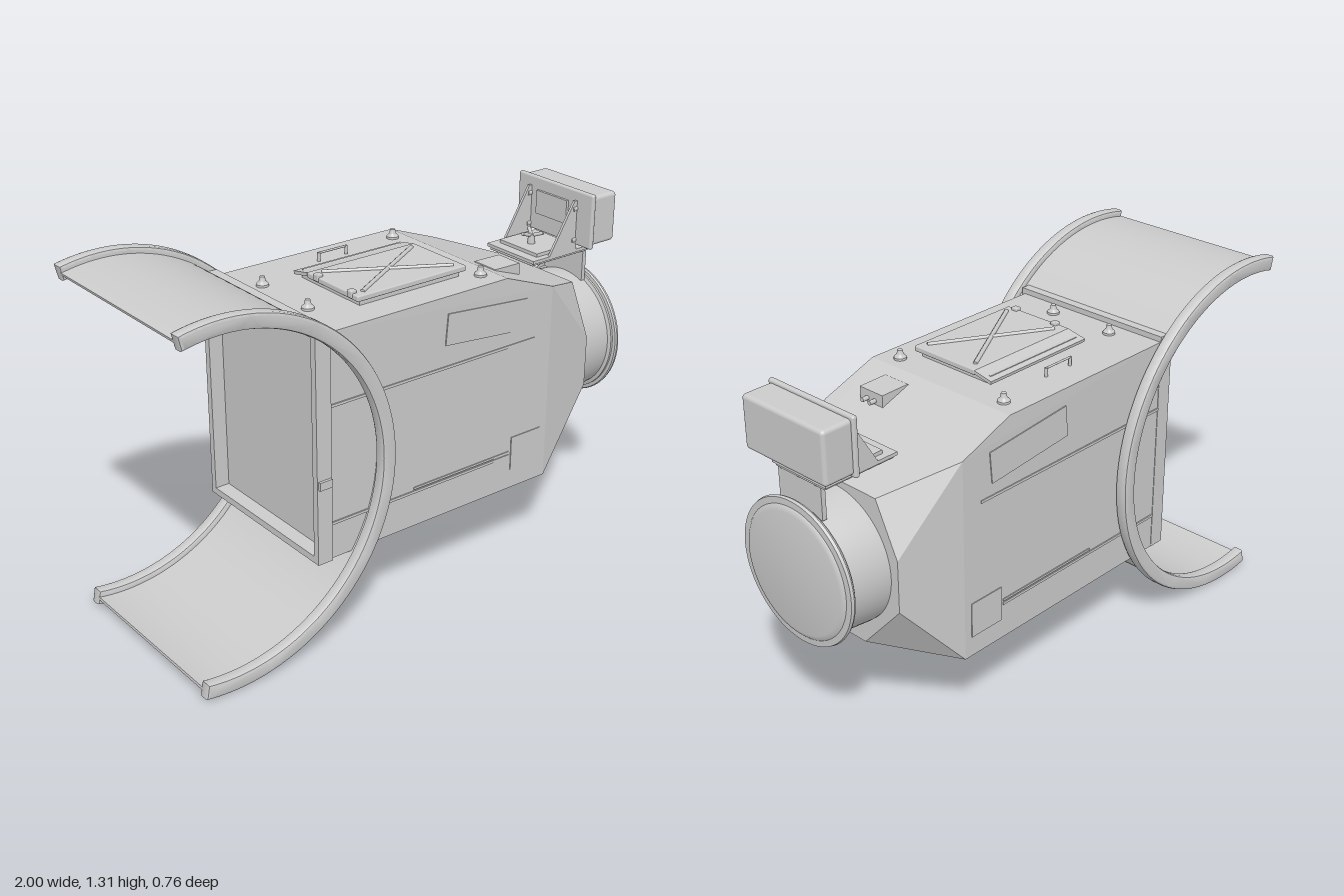
import * as THREE from 'three';
import { RoundedBoxGeometry } from 'three/addons/geometries/RoundedBoxGeometry.js';
import { ConvexGeometry } from 'three/addons/geometries/ConvexGeometry.js';
import { toCreasedNormals } from 'three/addons/utils/BufferGeometryUtils.js';

const material = new THREE.MeshStandardMaterial({ color: 0xcccccc, side: THREE.DoubleSide });
const MID = -0.01; // z of the housing's centre plane

export function createModel() {
  const model = new THREE.Group();

  const add = (name, geometry, x = 0, y = 0, z = 0) => {
    const mesh = new THREE.Mesh(geometry, material);
    mesh.name = name;
    mesh.position.set(x, y, z);
    model.add(mesh);
    return mesh;
  };
  // Box given by its limits
  const box = (name, x0, x1, y0, y1, z0, z1, r = 0) => add(name,
    r ? new RoundedBoxGeometry(x1 - x0, y1 - y0, z1 - z0, 3, r) : new THREE.BoxGeometry(x1 - x0, y1 - y0, z1 - z0),
    (x0 + x1) / 2, (y0 + y1) / 2, (z0 + z1) / 2);
  // Polygon in the x-y plane, thickened along z from z0 to z1
  const prism = (name, points, z0, z1) => add(name,
    new THREE.ExtrudeGeometry(new THREE.Shape(points.map(p => new THREE.Vector2(...p))),
      { depth: z1 - z0, bevelEnabled: false }), 0, 0, z0);
  // Round bar between two points
  const bar = (name, a, b, r) => {
    const p = new THREE.Vector3(...a), q = new THREE.Vector3(...b);
    const mesh = add(name, new THREE.CylinderGeometry(r, r, p.distanceTo(q), 10));
    mesh.position.copy(p).lerp(q, 0.5);
    mesh.quaternion.setFromUnitVectors(new THREE.Vector3(0, 1, 0), q.sub(p).normalize());
    return mesh;
  };
  const lathe = (points, segments) =>
    toCreasedNormals(new THREE.LatheGeometry(points.map(p => new THREE.Vector2(...p)), segments), 0.6);

  // Curved mounting shield: thin sheet with a bevelled rim on each side
  const arc = (name, rIn, rOut, z0, z1, bevel) => {
    const a0 = THREE.MathUtils.degToRad(-100.5), a1 = THREE.MathUtils.degToRad(103.5);
    const shape = new THREE.Shape();
    shape.absarc(0, 0, rOut, a0, a1, false);
    shape.absarc(0, 0, rIn, a1, a0, true);
    const geometry = new THREE.ExtrudeGeometry(shape, {
      depth: z1 - z0 - 2 * bevel, curveSegments: 72, bevelEnabled: bevel > 0,
      bevelSize: bevel, bevelThickness: bevel, bevelOffset: -bevel, bevelSegments: 2,
    });
    add(name, toCreasedNormals(geometry, 0.5), -0.845, 0.66, z0 + bevel);
  };
  arc('shieldSheet', 0.624, 0.634, -0.345, 0.34, 0);
  arc('shieldRimLeft', 0.602, 0.656, 0.33, 0.376, 0.01);
  arc('shieldRimRight', 0.602, 0.656, -0.38, -0.334, 0.01);

  // Housing: square section that narrows to an eight-sided nose
  const corners = [];
  for (const s of [-1, 1]) {
    const side = [
      [-0.42, 0.31, 0.318], [-0.42, 1.135, 0.318], [0.345, 1.135, 0.318], [0.56, 1.055, 0.32], [0.56, 0.31, 0.32],
      [0.8, 0.40, 0.10], [0.8, 0.59, 0.27], [0.8, 0.78, 0.27], [0.8, 0.97, 0.18],
    ];
    for (const [x, y, z] of side) corners.push(new THREE.Vector3(x, y, MID + s * z));
  }
  add('housing', new ConvexGeometry(corners));

  // Frame round the open back
  const frame = new THREE.Shape([[-0.325, 0.31], [0.325, 0.31], [0.325, 1.155], [-0.325, 1.155]]
    .map(p => new THREE.Vector2(...p)));
  frame.holes.push(new THREE.Path([[-0.3, 0.335], [-0.3, 1.13], [0.3, 1.13], [0.3, 0.335]]
    .map(p => new THREE.Vector2(...p))));
  add('backFrame', new THREE.ExtrudeGeometry(frame, { depth: 0.06, bevelEnabled: false }), -0.475, 0, MID + 0.005)
    .rotation.y = Math.PI / 2;
  box('frameLug', -0.47, -0.42, 0.595, 0.625, 0.318, 0.33);

  // Side rails and access plates, on both sides
  for (const s of [-1, 1]) {
    const z0 = MID + s * 0.318 - 0.005, z1 = z0 + 0.01;
    box('upperRail', -0.415, 0.48, 0.873, 0.883, z0, z1);
    box('lowerRail', -0.415, 0.38, 0.44, 0.45, z0, z1);
    box('shortRail', -0.06, 0.38, 0.455, 0.463, z0, z1);
    box('squarePlate', 0.39, 0.53, 0.385, 0.515, z0, z1);
    prism('tiltedPlate', [[0.07, 0.96], [0.43, 0.925], [0.44, 1.04], [0.08, 1.073]], z0, z1);
  }

  // Roof hatch with crossed stiffeners
  box('hatchBase', -0.2, 0.225, 1.13, 1.165, -0.13, 0.19);
  box('hatchLid', -0.22, 0.245, 1.155, 1.176, -0.075, 0.207, 0.005);
  add('hatchHingeStrip', new THREE.BoxGeometry(0.465, 0.012, 0.078), 0.0125, 1.16, -0.112).rotation.x = -0.2;
  bar('stiffener', [-0.18, 1.176, -0.045], [0.21, 1.176, 0.18], 0.008);
  bar('stiffener', [-0.18, 1.176, 0.18], [0.21, 1.176, -0.045], 0.008);
  for (const z of [-0.02, 0.165]) box('hatchLatch', -0.225, -0.2, 1.16, 1.186, z - 0.013, z + 0.013, 0.004);

  // Lifting studs
  const stud = lathe([[0, -0.005], [0.022, -0.005], [0.022, 0.008], [0.012, 0.018], [0.009, 0.034], [0, 0.038]], 16);
  for (const [x, z] of [[-0.35, -0.15], [-0.35, 0.11], [0.29, -0.25], [0.29, 0.23]]) add('liftingStud', stud, x, 1.135, z);

  // Small roof handle
  bar('handleGrip', [-0.065, 1.165, -0.222], [0.06, 1.165, -0.222], 0.004);
  for (const x of [-0.062, 0.057]) bar('handlePost', [x, 1.13, -0.222], [x, 1.167, -0.222], 0.006);

  // Hooded fitting on the roof slope, with two prongs
  prism('hood', [[0.385, 1.115], [0.505, 1.07], [0.505, 1.12], [0.39, 1.122]], 0.088, 0.196);
  for (const z of [0.125, 0.16]) bar('hoodProng', [0.5, 1.09, z], [0.53, 1.09, z], 0.008);

  // Round nose with flange and slightly domed cover
  const nose = lathe([
    [0, 0.78], [0.245, 0.78], [0.245, 0.82], [0.232, 0.945], [0.245, 0.95], [0.245, 0.958],
    [0.257, 0.96], [0.26, 0.967], [0.257, 0.977], [0.235, 0.978], [0.228, 0.984], [0.215, 0.987], [0, 0.987],
  ].reverse(), 64);
  nose.rotateZ(-Math.PI / 2);
  add('nose', nose, 0, 0.703, -0.003);

  // Bracket over the nose
  box('bracketNeck', 0.928, 0.945, 0.92, 1.045, -0.11, 0.09);
  const tray = new THREE.Shape([[0.66, -0.125], [0.955, -0.125], [0.955, 0.125], [0.66, 0.125]]
    .map(p => new THREE.Vector2(...p)));
  add('bracketTray', new THREE.ExtrudeGeometry(tray, { depth: 0.012, bevelEnabled: false }), 0, 1.062, -0.02)
    .rotation.x = Math.PI / 2;
  box('bracketTrayLip', 0.665, 0.95, 1.038, 1.05, -0.135, 0.095, 0.004);
  box('bracketPad', 0.7, 0.88, 1.06, 1.075, -0.12, 0.08);
  for (const z of [-0.145, 0.095]) {
    prism('gusset', [[0.74, 1.06], [0.875, 1.06], [0.875, 1.25], [0.855, 1.25]], z, z + 0.01);
    for (const y of [1.1, 1.22]) bar('gussetBolt', [0.85, y, z + 0.005], [0.88, y, z + 0.005], 0.01);
  }

  // Three-armed clamp knob
  add('knobStem', new THREE.CylinderGeometry(0.012, 0.015, 0.045, 16), 0.765, 1.088, -0.02);
  for (let i = 0; i < 3; i++) {
    const a = Math.PI + i * Math.PI * 2 / 3;
    bar('knobArm', [0.765, 1.105, -0.02],
      [0.765 + 0.045 * Math.cos(a), 1.12, -0.02 + 0.045 * Math.sin(a)], 0.007);
  }

  // Instrument box on the bracket
  box('boxBackPlate', 0.868, 0.888, 1.08, 1.288, -0.208, 0.182, 0.008);
  box('instrumentBox', 0.88, 1.0, 1.09, 1.278, -0.2, 0.174, 0.014);
  box('boxRearPad', 0.858, 0.872, 1.15, 1.24, -0.1, 0.06);

  return model;
}
